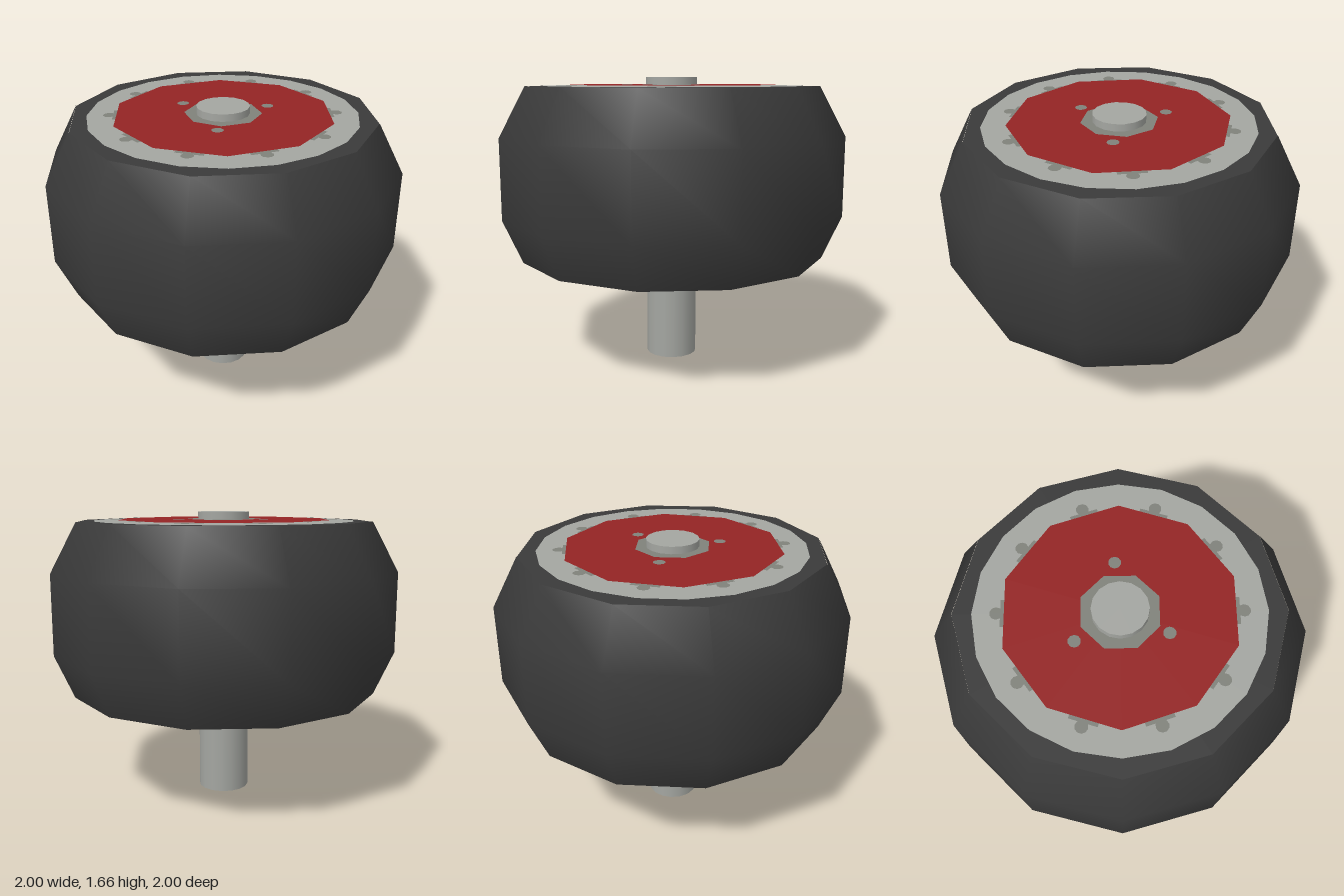
import * as THREE from 'three';

const mat = (name, color) => {
  const m = new THREE.MeshStandardMaterial({ color });
  m.name = name;
  return m;
};

export function createModel() {
  const rubber = mat('dark rubber', 0x3a3a3a);
  const steel = mat('light grey metal', 0xa4a6a1);
  const grey = mat('mid grey metal', 0x80827b);
  const red = mat('red', 0x942424);

  const model = new THREE.Group();
  model.name = 'wheel';
  const TAU = Math.PI * 2;
  const add = (name, geometry, material, parent = model) => {
    const mesh = new THREE.Mesh(geometry, material);
    mesh.name = name;
    parent.add(mesh);
    return mesh;
  };
  // Twelve-sided turned surface, smooth around its axis
  const turned = (name, points, material) => add(name,
    new THREE.LatheGeometry(points.map(p => new THREE.Vector2(...p)), 12), material);
  // Flat polygon facing up (dir 1) or down (dir -1)
  const disc = (name, r, sides, y, material, { dir = 1, x = 0, z = 0, start = 0 } = {}) => {
    const g = new THREE.CircleGeometry(r, sides, start);
    g.rotateX(-dir * Math.PI / 2);
    g.translate(x, y, z);
    return add(name, g, material);
  };

  // Tyre and its lower sloping rim
  turned('tyre', [[0.89, 0.62], [1, 0.87], [1, 1.33], [0.85, 1.61]], rubber);
  turned('lowerRim', [[0.73, 0.575], [0.89, 0.62]], steel);

  // Axle through the middle
  const axle = add('axle', new THREE.CylinderGeometry(0.148, 0.148, 1.66, 16), steel);
  axle.position.y = 0.83;

  // Upper face, from the tyre edge inwards
  const top = 1.607;
  disc('tyreTop', 0.85, 12, top, rubber);
  disc('upperRim', 0.75, 20, top + 0.003, steel);
  for (let i = 0; i < 10; i++) {
    const a = i * TAU / 10;
    const s = Math.sin(a), c = Math.cos(a);
    disc('rimBolt', 0.034, 10, top + 0.006, grey, { x: 0.625 * s, z: 0.625 * c });
    const foot = new THREE.PlaneGeometry(0.15, 0.06);
    foot.rotateX(-Math.PI / 2);
    foot.translate(0, top + 0.006, 0.574);
    foot.rotateY(a);
    add('boltFoot', foot, grey);
  }
  disc('upperRedPlate', 0.615, 10, top + 0.009, red);
  disc('hubCollar', 0.215, 8, top + 0.012, grey, { start: Math.PI / 8 });
  for (const [x, z] of [[0.275, -0.025], [-0.158, -0.23], [-0.12, 0.245]]) {
    disc('plateHole', 0.034, 10, top + 0.012, grey, { x, z });
  }

  // Lower face: red ring around a grey disc with three lobes
  const base = 0.575;
  disc('lowerRedPlate', 0.73, 12, base, red, { dir: -1 });
  disc('lowerDisc', 0.575, 24, base - 0.003, grey, { dir: -1 });
  for (let i = 0; i < 3; i++) {
    const a = -Math.PI / 2 + i * TAU / 3;
    const x = Math.cos(a), z = Math.sin(a);
    disc('discLobe', 0.06, 12, base - 0.003, grey, { dir: -1, x: 0.6 * x, z: 0.6 * z });
    disc('lowerHole', 0.022, 8, base - 0.003, grey, { dir: -1, x: -0.62 * x, z: -0.62 * z });
  }

  // Dark studs on the facets of the lower rim
  for (let i = 0; i < 12; i++) {
    const g = new THREE.CircleGeometry(0.024, 10);
    if (i % 3 === 1) g.scale(2, 0.9, 1);
    g.rotateX(Math.PI / 2 - 0.283);
    g.translate(0, 0.594, 0.783);
    g.rotateY((i + 0.5) * TAU / 12);
    add('rimStud', g, rubber);
  }

  return model;
}
